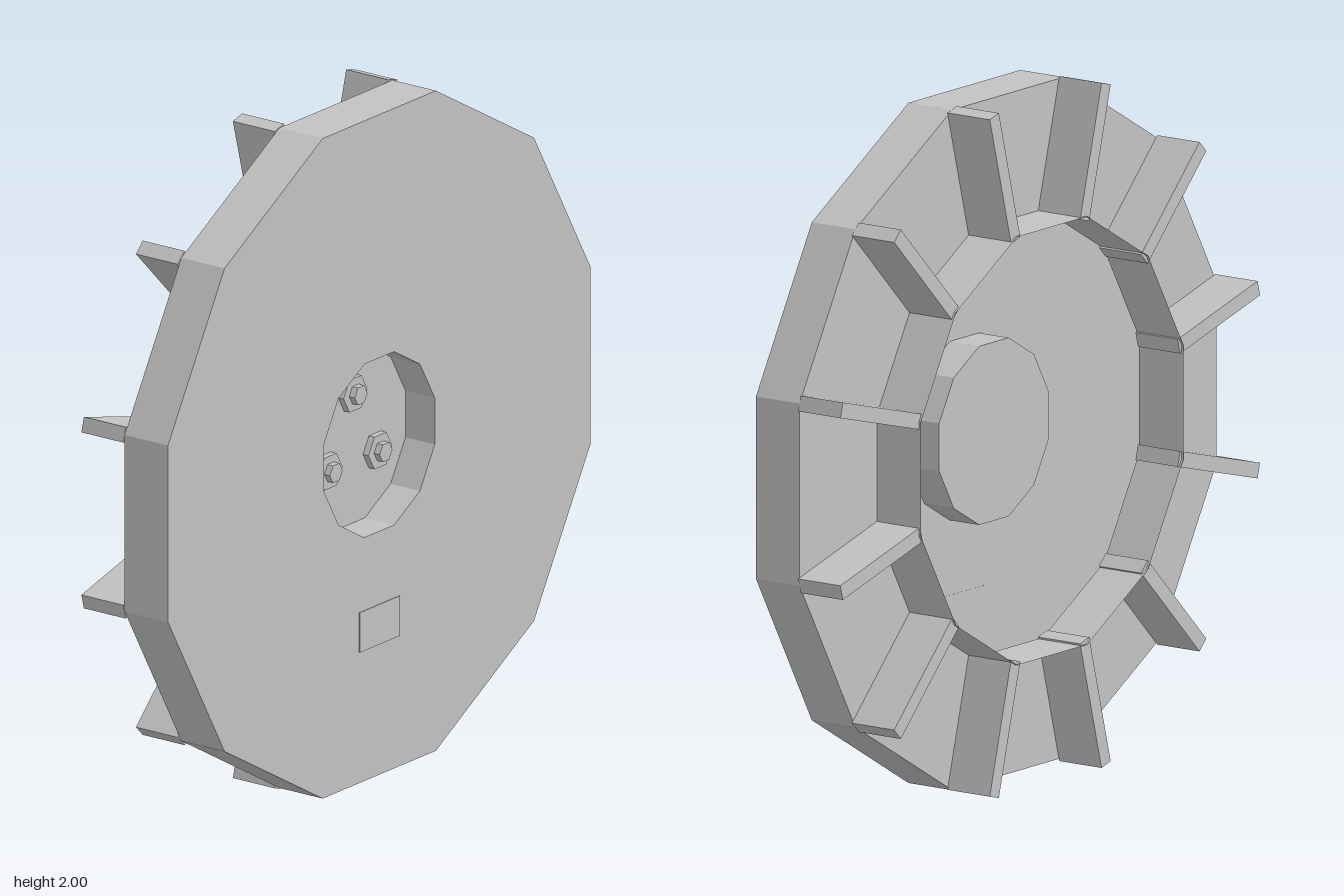
import * as THREE from 'three';

const SIDES = 12;
const CENTRE_Y = 1.0025;
const RIM_R = 1.028;   // corner radius of the cover
const DRUM_R = 0.647;  // corner radius of the rear ring
const HUB_R = 0.27;    // corner radius of the hub recess
const FRONT = 0.155;
const HUB_FLOOR = 0.05;

export function createModel() {
  const grey = new THREE.MeshStandardMaterial({ color: 0xc2c2c2, flatShading: true, side: THREE.DoubleSide });
  grey.name = 'plain grey';

  const model = new THREE.Group();
  model.name = 'wheelCover';
  const wheel = new THREE.Group();
  wheel.name = 'wheel';
  wheel.position.y = CENTRE_Y;
  model.add(wheel);

  function add(name, geometry, parent = wheel) {
    const mesh = new THREE.Mesh(geometry, grey);
    mesh.name = name;
    parent.add(mesh);
    return mesh;
  }

  // Prism along z with a flat side up
  function prism(radius, sides, z0, z1, open = false) {
    return new THREE.CylinderGeometry(radius, radius, z1 - z0, sides, 1, open)
      .rotateX(Math.PI / 2)
      .rotateZ(Math.PI / sides)
      .translate(0, 0, (z0 + z1) / 2);
  }

  function corners(radius) {
    return Array.from({ length: SIDES }, (_, i) => {
      const a = ((i + 0.5) / SIDES) * Math.PI * 2;
      return new THREE.Vector2(Math.cos(a) * radius, Math.sin(a) * radius);
    });
  }

  // Flat twelve-sided plate with a matching hole
  function ringPlate(outer, inner, z) {
    const shape = new THREE.Shape(corners(outer));
    shape.holes.push(new THREE.Path(corners(inner).reverse()));
    return new THREE.ShapeGeometry(shape).translate(0, 0, z);
  }

  // Cover shell
  add('frontFace', ringPlate(RIM_R, HUB_R, FRONT));
  add('rimWall', prism(RIM_R, SIDES, 0, FRONT, true));
  add('backFace', ringPlate(RIM_R, DRUM_R, 0));

  // Open ring on the back
  add('rearRing', prism(DRUM_R, SIDES, -0.157, 0, true));

  // Recessed hub
  add('hubWall', prism(HUB_R, SIDES, HUB_FLOOR, FRONT, true));
  add('hubFloor', new THREE.ShapeGeometry(new THREE.Shape(corners(HUB_R))).translate(0, 0, HUB_FLOOR));

  // Hub bolts
  for (let i = 0; i < 3; i++) {
    const a = Math.PI / 2 + (i * Math.PI * 2) / 3;
    const bolt = new THREE.Group();
    bolt.name = 'hubBolt';
    bolt.position.set(Math.cos(a) * 0.135, Math.sin(a) * 0.135, HUB_FLOOR);
    add('nut', prism(0.056, 6, 0, 0.02), bolt);
    add('stud', prism(0.03, 6, 0.02, 0.04), bolt);
    wheel.add(bolt);
  }

  // Radial fins on the back, one at each corner
  const finIn = 0.635, finOut = 1.029;
  for (let i = 0; i < SIDES; i++) {
    const fin = add('fin', new THREE.BoxGeometry(finOut - finIn, 0.045, 0.15)
      .translate((finIn + finOut) / 2, 0, -0.075));
    fin.rotation.z = ((i + 0.5) / SIDES) * Math.PI * 2;
  }

  // Blank plate low on the front face
  add('blankPlate', new THREE.BoxGeometry(0.19, 0.12, 0.003).translate(0, -0.54, FRONT + 0.001));

  return model;
}
